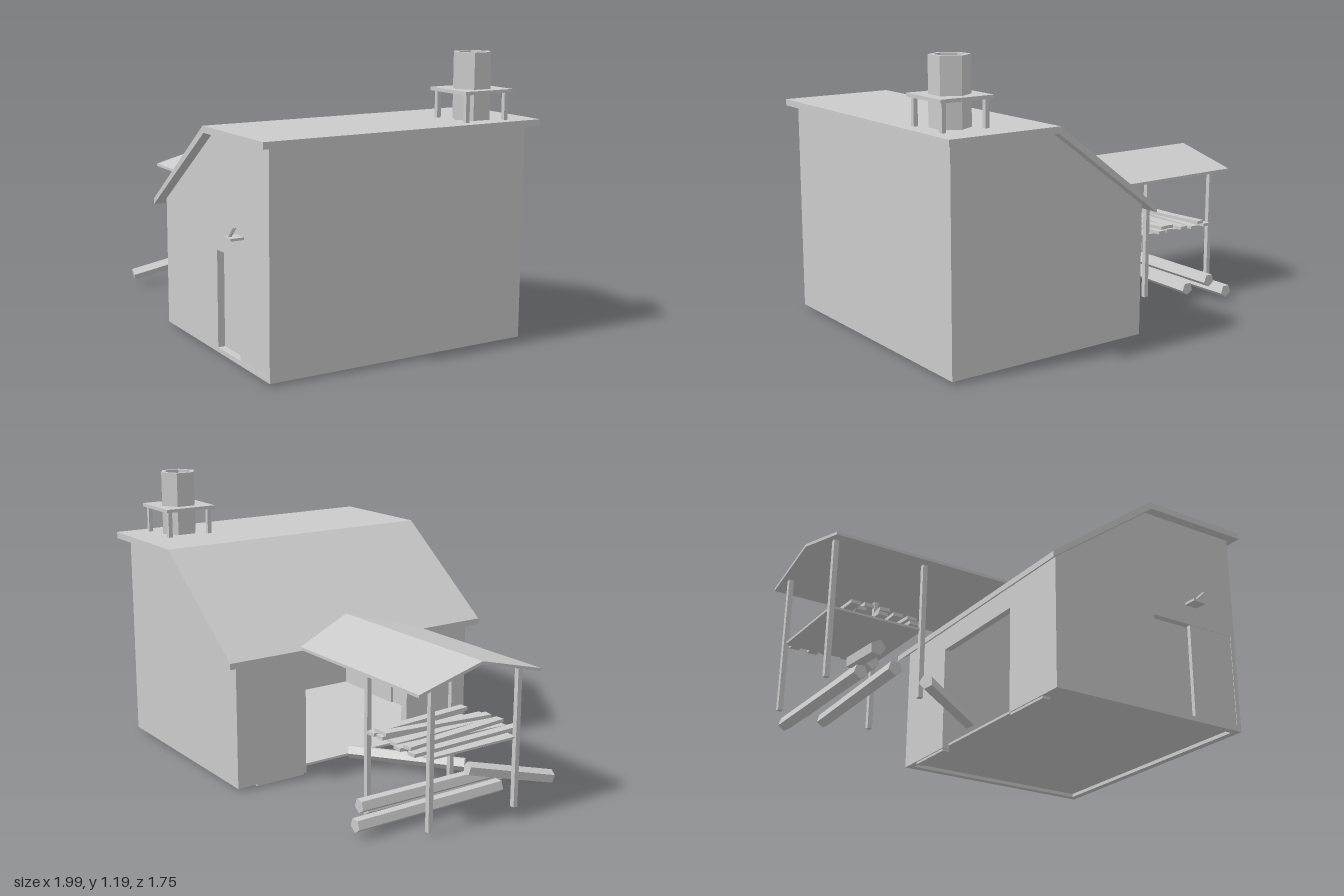
import * as THREE from 'three';

const material = new THREE.MeshStandardMaterial({ color: 0xcccccc, flatShading: true, side: THREE.DoubleSide });

export function createModel() {
  const model = new THREE.Group();
  model.name = 'workshop';
  // the whole plan is turned 30 degrees; below, x runs across the house and z along it
  model.rotation.y = -Math.PI / 6;

  function add(name, geometry, x = 0, y = 0, z = 0, parent = model) {
    const mesh = new THREE.Mesh(geometry, material);
    mesh.name = name;
    mesh.position.set(x, y, z);
    parent.add(mesh);
    return mesh;
  }
  // box given by its minimum and maximum corners
  function box(name, a, b) {
    const size = b.map((v, i) => v - a[i]);
    return add(name, new THREE.BoxGeometry(...size), ...a.map((v, i) => v + size[i] / 2));
  }
  const polygon = (points) => new THREE.Shape(points.map(([x, y]) => new THREE.Vector2(x, y)));
  const extrude = (shape, depth) => new THREE.ExtrudeGeometry(shape, { depth, bevelEnabled: false });
  // round bar between two points
  function bar(name, a, b, radius, sides) {
    const from = new THREE.Vector3(...a), to = new THREE.Vector3(...b);
    const dir = to.clone().sub(from);
    const mesh = add(name, new THREE.CylinderGeometry(radius, radius, dir.length(), sides));
    mesh.position.copy(from).add(to).multiplyScalar(0.5);
    mesh.quaternion.setFromUnitVectors(new THREE.Vector3(0, 1, 0), dir.normalize());
    return mesh;
  }

  // house walls
  const X0 = -0.196, X1 = 0.721, Z0 = -0.641, Z1 = 0.53, T = 0.03;
  const gable = [[X0, 0.01], [X1, 0.01], [X1, 0.895], [0.265, 0.895], [X0, 0.553]];
  add('backWall', extrude(polygon(gable), T), 0, 0, Z0);
  const frontShape = polygon(gable);
  frontShape.holes.push(polygon([[0.289, 0.03], [0.289, 0.43], [0.7, 0.43], [0.7, 0.03]]));
  add('frontWall', extrude(frontShape, T), 0, 0, Z1 - T);
  box('tallSideWall', [X1 - T, 0.01, Z0 + T], [X1, 0.895, Z1 - T]);
  box('lowSideWallBack', [X0, 0.01, Z0 + T], [X0 + T, 0.553, -0.316]);
  box('lowSideWallFront', [X0, 0.01, 0.207], [X0 + T, 0.553, Z1 - T]);
  box('lowSideLintel', [X0, 0.46, -0.316], [X0 + T, 0.553, 0.207]);
  box('floor', [X0 + T, 0.025, Z0 + T], [X1 - T, 0.035, Z1 - T]);

  // front double door, one leaf set back
  box('doorLeafInner', [0.289, 0.03, Z1 - T - 0.012], [0.49, 0.43, Z1 - T]);
  box('doorLeafOuter', [0.48, 0.03, Z1 - 0.02], [0.7, 0.43, Z1 - 0.002]);
  // side door leaves folded against the inside of the wall
  for (const [a, b] of [[-0.55, -0.324], [0.207, 0.428]]) {
    box('sideDoorLeaf', [X0 + 0.005, 0, a], [X0 + T + 0.008, 0.43, b]);
  }

  // lamp bracket over the front door
  box('lampPlate', [0.46, 0.515, Z1], [0.52, 0.525, Z1 + 0.055]);
  bar('lampArm', [0.48, 0.525, Z1 + 0.04], [0.525, 0.57, Z1 + 0.04], 0.007, 5);

  // main roof: flat half and sloping half
  const roof = polygon([[-0.234, 0.55], [-0.234, 0.525], [0.268, 0.893], [0.756, 0.893], [0.756, 0.92], [0.26, 0.92]]);
  add('mainRoof', extrude(roof, 1.26), 0, 0, -0.688);

  // chimney with its raised collar
  const chimney = new THREE.Group();
  chimney.name = 'chimney';
  chimney.position.set(0.6, 0, -0.46);
  model.add(chimney);
  const flue = [[0.06, 0.9], [0.08, 0.9], [0.08, 1.19], [0.06, 1.19], [0.06, 0.9]].map(([x, y]) => new THREE.Vector2(x, y));
  add('chimneyFlue', new THREE.LatheGeometry(flue, 6), 0, 0, 0, chimney);
  const collar = polygon([[-0.117, -0.117], [0.117, -0.117], [0.117, 0.117], [-0.117, 0.117]]);
  const hexagon = Array.from({ length: 6 }, (_, i) => [0.079 * Math.sin(i * Math.PI / 3), 0.079 * Math.cos(i * Math.PI / 3)]);
  collar.holes.push(polygon(hexagon));
  add('chimneyCollar', extrude(collar, 0.014), 0, 1.03, 0, chimney).rotation.x = -Math.PI / 2;
  for (const x of [-0.095, 0.095]) for (const z of [-0.095, 0.095]) {
    add('collarPost', new THREE.BoxGeometry(0.018, 0.125, 0.018), x, 0.97, z, chimney);
  }

  // lean-to: gabled roof, posts and shelf
  const shed = polygon([[-0.353, 0.562], [-0.353, 0.55], [-0.06, 0.626], [0.234, 0.55], [0.234, 0.562], [-0.06, 0.638]]);
  add('shedRoof', extrude(shed, 0.871), -0.116, 0, 0).rotation.y = -Math.PI / 2;
  for (const x of [-0.953, -0.566]) for (const z of [-0.27, 0.15]) {
    const top = 0.626 - Math.abs(z + 0.06) * 0.26;
    add('shedPost', new THREE.BoxGeometry(0.02, top - 0.01, 0.02), x, (top + 0.01) / 2, z);
  }
  box('shelf', [-0.953, 0.288, -0.27], [-0.566, 0.297, 0.15]);

  // planks on the shelf: x, z, y, length, turn
  const planks = [
    [-0.89, -0.05, 0.304, 0.53, 0.03], [-0.83, -0.07, 0.304, 0.5, -0.05], [-0.76, -0.06, 0.304, 0.48, 0.04],
    [-0.69, -0.05, 0.304, 0.5, -0.03], [-0.62, -0.07, 0.304, 0.47, 0.05],
    [-0.84, -0.06, 0.319, 0.5, 0.1], [-0.72, -0.05, 0.319, 0.48, -0.12], [-0.64, -0.06, 0.319, 0.46, 0.08],
  ];
  for (const [x, z, y, length, turn] of planks) {
    add('plank', new THREE.BoxGeometry(0.04, 0.014, length), x, y, z).rotation.y = turn;
  }

  // logs lying on the ground, one leaning on the pile
  const logs = [
    [[-0.828, 0.05, -0.515], [-0.83, 0.05, 0.18]],
    [[-0.776, 0.095, -0.46], [-0.79, 0.095, 0.19]],
    [[-0.714, 0.05, -0.39], [-0.74, 0.05, 0.28]],
    [[-0.88, 0.05, 0.415], [-0.8, 0.14, 0.04]],
    [[-0.578, 0.05, 0.22], [-0.2, 0.06, -0.1]],
  ];
  for (const [a, b] of logs) bar('log', a, b, 0.029, 5);

  const root = new THREE.Group();
  root.name = 'workshopWithShed';
  root.add(model);
  return root;
}
